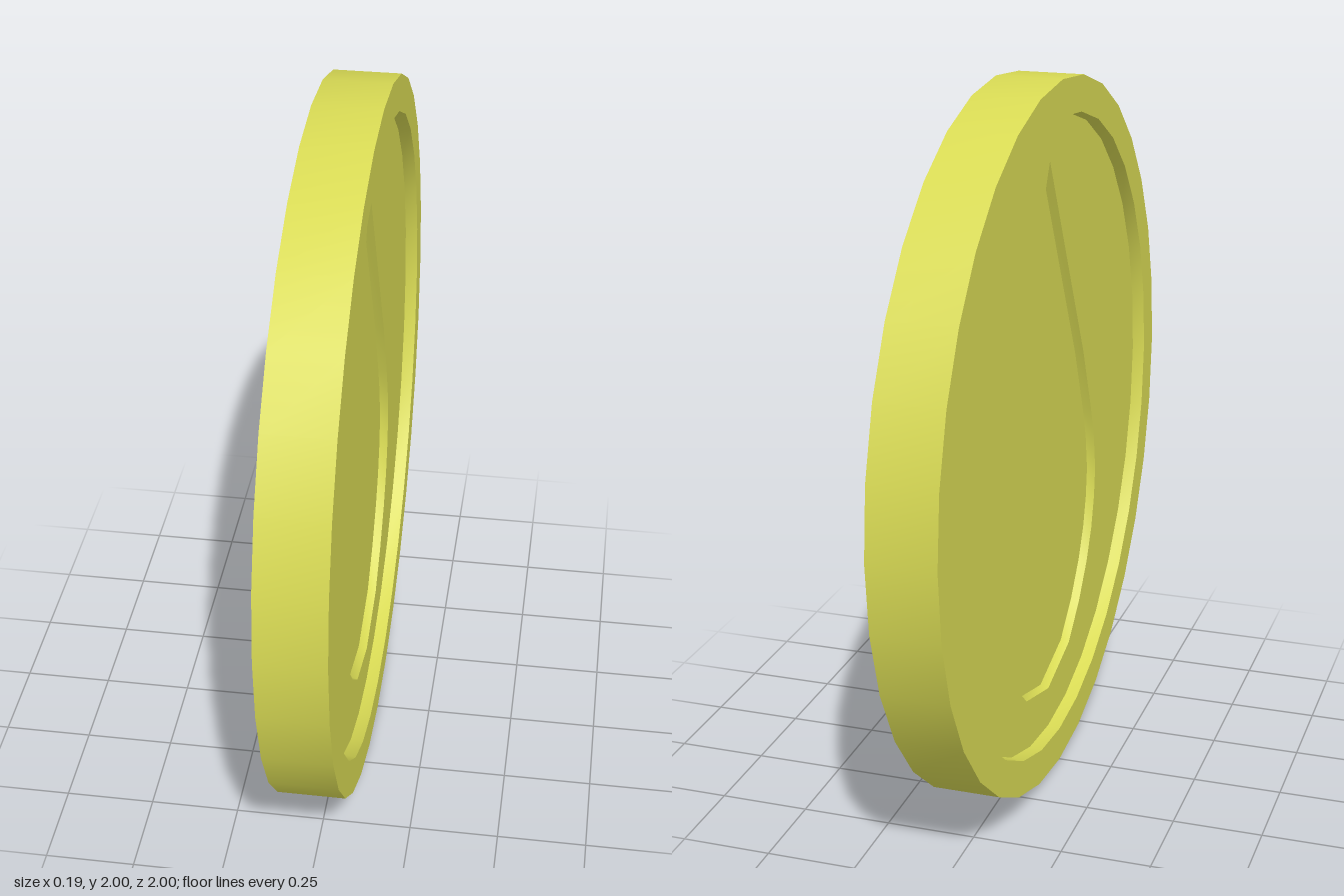
import * as THREE from 'three';
import { toCreasedNormals } from 'three/addons/utils/BufferGeometryUtils.js';

const SIDES = 32, HALF = 0.093, FLOOR = 0.058, DROP_FLOOR = 0.034;
const RIM_IN = 0.9, FLOOR_R = 0.895;

// Half outline of the drop, from the tip down, relative to the coin centre
const HALF_DROP = [
  [0, 0.78], [0.335, 0.15], [0.42, -0.05], [0.455, -0.15], [0.473, -0.26], [0.463, -0.35],
  [0.437, -0.44], [0.39, -0.53], [0.31, -0.63], [0.205, -0.72], [0, -0.775],
];

// Counter-clockwise drop outline; inset pulls it slightly towards its middle
function dropLoop(inset = 1) {
  const mid = -0.2;
  const pt = (x, y) => new THREE.Vector2(x * inset, mid + (y - mid) * inset);
  const left = HALF_DROP.map(([x, y]) => pt(-x, y));
  const right = HALF_DROP.slice(1, -1).reverse().map(([x, y]) => pt(x, y));
  return [...left, ...right];
}

// Inward-facing wall between two loops at different depths
function wallGeometry(top, bottom, zTop, zBottom) {
  const pos = [];
  top.forEach((p, i) => {
    const j = (i + 1) % top.length;
    const a = [p.x, p.y, zTop], b = [top[j].x, top[j].y, zTop];
    const c = [bottom[j].x, bottom[j].y, zBottom], d = [bottom[i].x, bottom[i].y, zBottom];
    pos.push(...a, ...b, ...c, ...a, ...c, ...d);
  });
  const geo = new THREE.BufferGeometry();
  geo.setAttribute('position', new THREE.Float32BufferAttribute(pos, 3));
  return toCreasedNormals(geo, Math.PI / 6);
}

export function createModel() {
  const model = new THREE.Group();
  model.name = 'coin';
  const gold = new THREE.MeshStandardMaterial({ color: 0xd8da54 });
  gold.name = 'yellow gold';

  const add = (parent, name, geo) => {
    const mesh = new THREE.Mesh(geo, gold);
    mesh.name = name;
    parent.add(mesh);
    return mesh;
  };

  // Raised rim with the outer edge and both recess walls
  const profile = [
    [FLOOR_R, -FLOOR], [RIM_IN, -HALF], [1, -HALF], [1, HALF], [RIM_IN, HALF], [FLOOR_R, FLOOR],
  ].map(([r, y]) => new THREE.Vector2(r, y));
  const rim = add(model, 'rim', toCreasedNormals(new THREE.LatheGeometry(profile, SIDES), Math.PI / 6));
  rim.rotation.z = -Math.PI / 2;
  rim.position.y = 1;

  // Sunken face with a deeper drop, the same on both sides
  const outer = Array.from({ length: SIDES }, (_, i) => {
    const a = (i / SIDES) * Math.PI * 2;
    return new THREE.Vector2(Math.cos(a) * FLOOR_R, Math.sin(a) * FLOOR_R);
  });
  const top = dropLoop(), bottom = dropLoop(0.988);
  const field = new THREE.Shape(outer);
  field.holes.push(new THREE.Path(top));

  for (const [side, name] of [[1, 'leftFace'], [-1, 'rightFace']]) {
    const face = new THREE.Group();
    face.name = name;
    add(face, 'recessedField', new THREE.ShapeGeometry(field)).position.z = FLOOR;
    add(face, 'dropWall', wallGeometry(top, bottom, FLOOR, DROP_FLOOR));
    add(face, 'dropFloor', new THREE.ShapeGeometry(new THREE.Shape(bottom))).position.z = DROP_FLOOR;
    face.rotation.y = side * Math.PI / 2;
    face.position.y = 1;
    model.add(face);
  }
  return model;
}
